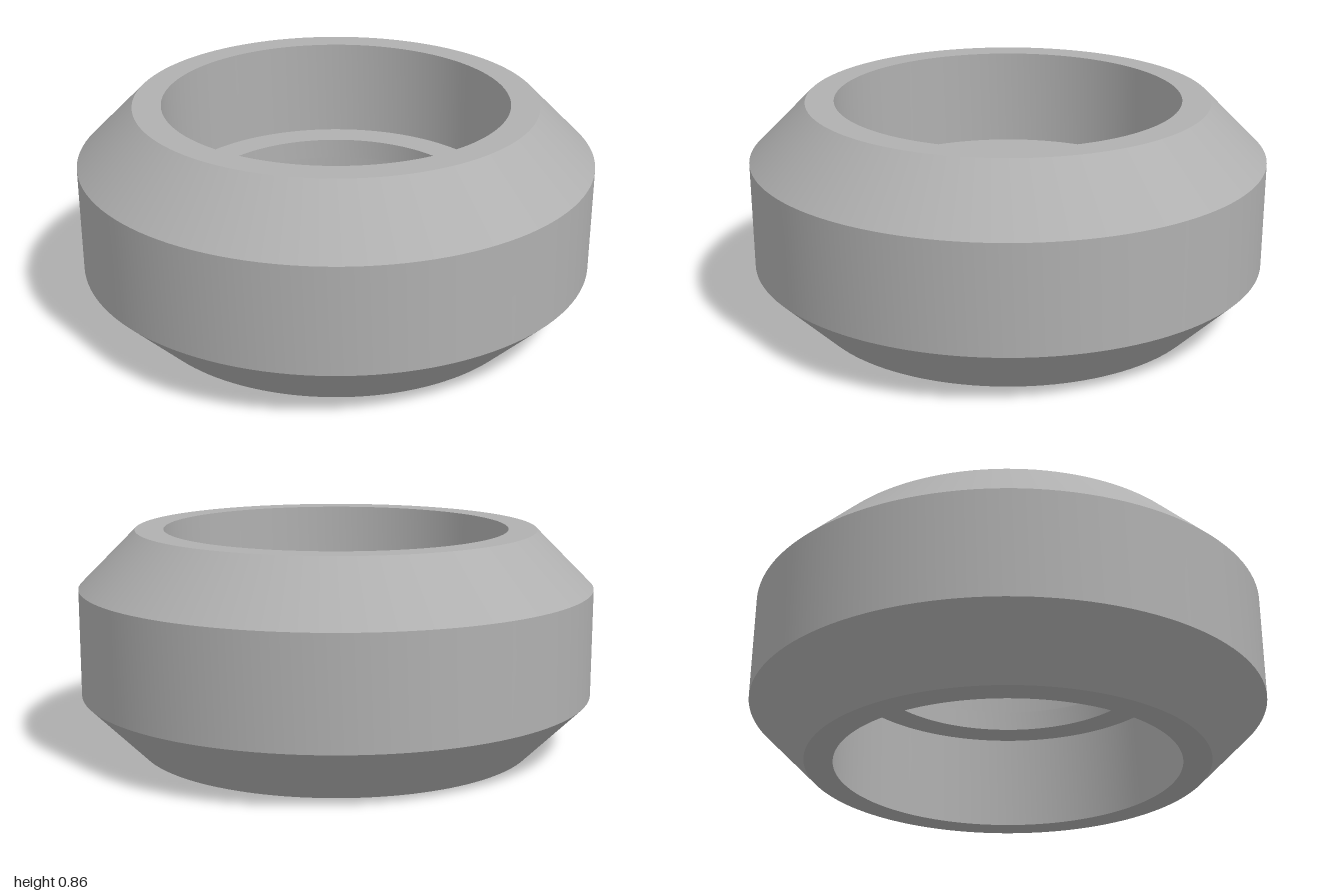
import * as THREE from 'three';
import { toCreasedNormals } from 'three/addons/utils/BufferGeometryUtils.js';

export function createModel() {
  const group = new THREE.Group();
  group.name = 'bevelledRing';

  const grey = new THREE.MeshStandardMaterial({ color: 0xb0b0b0 });
  grey.name = 'grey';

  const height = 0.855;
  const bevel = 0.22;    // 45 degree bevel at both rims
  const boreR = 0.67;    // wide recess from each side
  const holeR = 0.545;   // hole through the middle lip
  const boreDepth = 0.387;

  // Closed cross-section: up the outside, then down the inside
  const profile = [
    [1 - bevel, 0],
    [1, bevel],
    [1, height - bevel],
    [1 - bevel, height],
    [boreR, height],
    [boreR, height - boreDepth],
    [holeR, height - boreDepth],
    [holeR, boreDepth],
    [boreR, boreDepth],
    [boreR, 0],
    [1 - bevel, 0],
  ].map(([r, y]) => new THREE.Vector2(r, y));

  const geometry = toCreasedNormals(new THREE.LatheGeometry(profile, 128), Math.PI / 6);
  const ring = new THREE.Mesh(geometry, grey);
  ring.name = 'ringBody';
  group.add(ring);

  return group;
}
